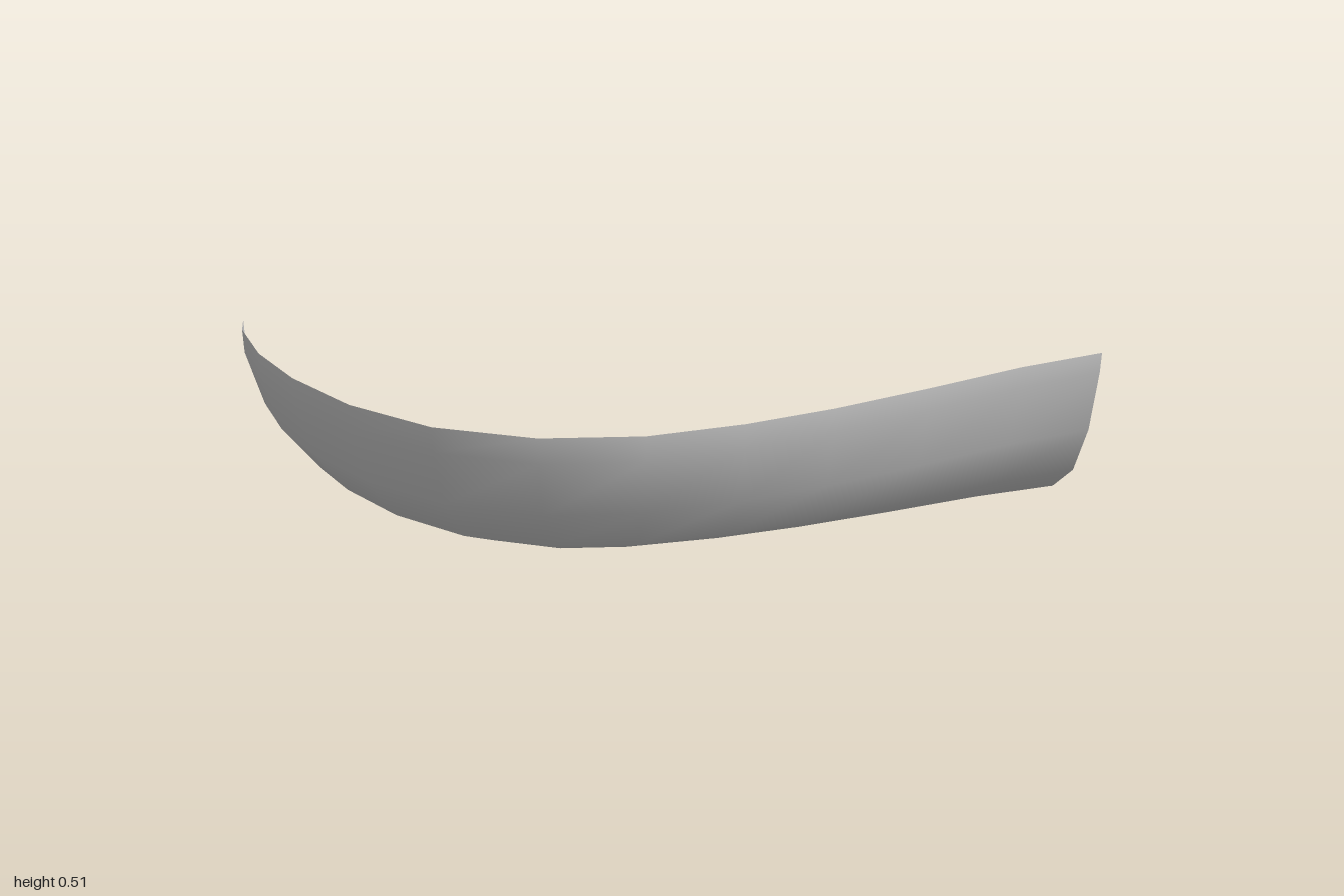
import * as THREE from 'three';

export function createModel() {
  const group = new THREE.Group();

  // Plan outline of the rim (x, z), from the rounded end to the cut end
  const rim = [[-1, -0.44], [-1, -0.37], [-0.955, -0.2], [-0.875, -0.03], [-0.75, 0.15],
    [-0.58, 0.305], [-0.365, 0.405], [-0.14, 0.437], [0.08, 0.415], [0.29, 0.37],
    [0.53, 0.3], [0.78, 0.22], [1, 0.17]];

  // Wall section: inset from rim to spine, height at the rounded end, height at the cut end
  const section = [[0, 0.51, 0.51], [0, 0.45, 0.46], [0.04, 0.31, 0.3], [0.137, 0.19, 0.165],
    [0.31, 0.104, 0.07], [0.5, 0.073, 0.017], [0.77, 0.052, 0], [1, 0.045, 0.03]];

  const poleX = -0.14, spineZ = -0.44;
  const positions = [], indices = [];
  const n = section.length;

  // Sections fan around the pole at the rounded end, then run parallel along the spine
  rim.forEach(([x, z], i) => {
    const spineX = Math.max(x, poleX);
    const u = (spineX - poleX) / (1 - poleX);
    section.forEach(([f, yRound, yCut], j) => {
      positions.push(
        THREE.MathUtils.lerp(x, spineX, f),
        THREE.MathUtils.lerp(yRound, yCut, u),
        THREE.MathUtils.lerp(z, spineZ, f));
      if (i < rim.length - 1 && j < n - 1) {
        const a = i * n + j, b = a + n;
        indices.push(a, a + 1, b);
        // the fan closes to a point, so its last row has single triangles
        if (j < n - 2 || rim[i + 1][0] > poleX) indices.push(b, a + 1, b + 1);
      }
    });
  });

  const geometry = new THREE.BufferGeometry();
  geometry.setAttribute('position', new THREE.Float32BufferAttribute(positions, 3));
  geometry.setIndex(indices);
  geometry.computeVertexNormals();

  const shell = new THREE.Mesh(geometry,
    new THREE.MeshStandardMaterial({ color: 0xcccccc, side: THREE.DoubleSide }));
  shell.name = 'curvedShell';
  group.add(shell);
  return group;
}
